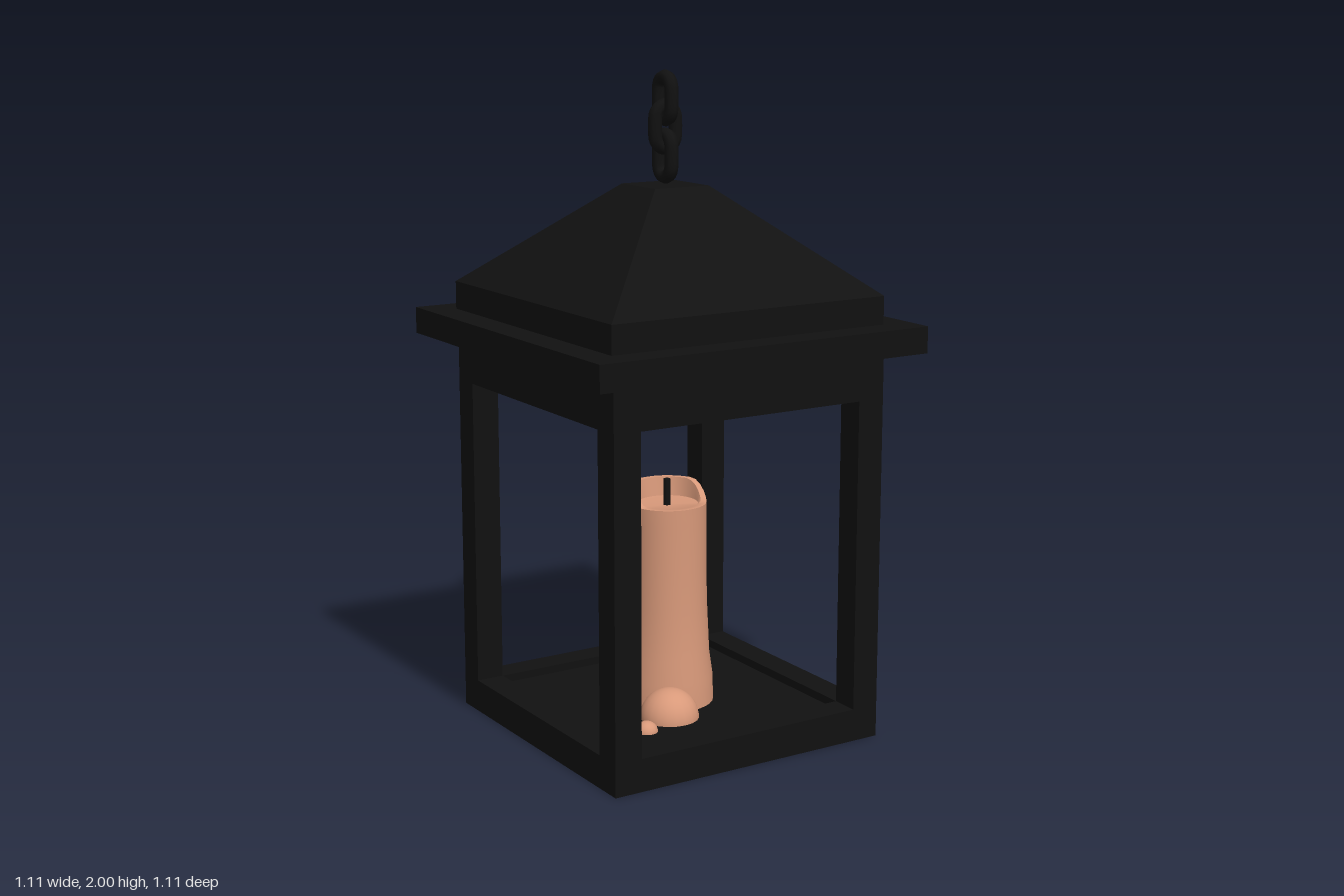
import * as THREE from 'three';
import { toCreasedNormals } from 'three/addons/utils/BufferGeometryUtils.js';

const iron = new THREE.MeshStandardMaterial({ color: 0x111111, flatShading: true });
const ironSmooth = new THREE.MeshStandardMaterial({ color: 0x111111 });
const wax = new THREE.MeshStandardMaterial({ color: 0xd8997a });

function add(parent, name, geometry, material, x = 0, y = 0, z = 0) {
  const mesh = new THREE.Mesh(geometry, material);
  mesh.name = name;
  mesh.position.set(x, y, z);
  parent.add(mesh);
  return mesh;
}

// Box spanning y0..y1
function slab(parent, name, w, y0, y1, d, x = 0, z = 0) {
  return add(parent, name, new THREE.BoxGeometry(w, y1 - y0, d), iron, x, (y0 + y1) / 2, z);
}

// Square frame of posts and rails with a sunken floor
function buildFrame() {
  const g = new THREE.Group();
  g.name = 'frame';
  const half = 0.462, t = 0.087, c = half - t / 2, inner = 2 * (half - t);
  for (const sx of [-1, 1]) for (const sz of [-1, 1]) slab(g, 'cornerPost', t, 0, 1.19, t, sx * c, sz * c);
  for (const s of [-1, 1]) {
    for (const [name, y0, y1] of [['bottomRail', 0, 0.1], ['topRail', 1.05, 1.19]]) {
      slab(g, name, inner, y0, y1, t, 0, s * c);
      slab(g, name, t, y0, y1, inner, s * c, 0);
    }
  }
  slab(g, 'floor', inner, 0, 0.075, inner);
  g.position.set(0.003, 0, 0.003);
  return g;
}

function buildRoof() {
  const g = new THREE.Group();
  g.name = 'roof';
  slab(g, 'brim', 1.11, 1.19, 1.27, 1.11);
  slab(g, 'roofBase', 0.926, 1.27, 1.355, 0.926);
  const slope = new THREE.CylinderGeometry(0.093 * Math.SQRT2, 0.463 * Math.SQRT2, 0.31, 4);
  slope.rotateY(Math.PI / 4);
  add(g, 'roofSlope', slope, iron, 0, 1.51, 0);
  return g;
}

// Three interlocked oval links, each turned a quarter from the last
function buildChain() {
  const g = new THREE.Group();
  g.name = 'chain';
  const w = 0.034, straight = 0.028, path = new THREE.CurvePath();
  const pts = [];
  for (let i = 0; i < 16; i++) {
    const a = ((i + 0.5) / 16) * Math.PI * 2;
    pts.push(new THREE.Vector3(w * Math.cos(a), w * Math.sin(a) + Math.sign(Math.sin(a)) * straight, 0));
  }
  const curve = new THREE.CatmullRomCurve3(pts, true);
  const link = new THREE.TubeGeometry(curve, 32, 0.021, 8, true);
  [1.75, 1.835, 1.918].forEach((y, i) => {
    add(g, 'chainLink', link, ironSmooth, 0, y, 0).rotation.y = i % 2 ? 0 : Math.PI / 2;
  });
  return g;
}

function buildCandle() {
  const g = new THREE.Group();
  g.name = 'candle';
  const rimY = 0.755;
  const profile = [
    [0.141, 0.07], [0.138, 0.16], [0.128, 0.23], [0.121, 0.38], [0.118, 0.5], [0.118, 0.65],
    [0.118, rimY], [0.1, rimY], [0.092, 0.698], [0, 0.693],
  ].map(([r, y]) => new THREE.Vector2(r, y));
  const body = new THREE.LatheGeometry(profile, 32);
  const p = body.attributes.position;
  for (let i = 0; i < p.count; i++) {
    const x = p.getX(i), y = p.getY(i), z = p.getZ(i);
    if (Math.abs(y - rimY) < 1e-4) {
      // Rim melted away towards the front, with a small dip on one side
      const melt = THREE.MathUtils.smoothstep(z, -0.04, 0.075);
      const dip = 0.025 * THREE.MathUtils.smoothstep(-x, 0.06, 0.11);
      p.setY(i, Math.max(0.702, rimY - 0.053 * melt - dip));
    }
    // Wax pooled at the back of the foot
    if (y < 0.2 && z < 0) p.setZ(i, z * 1.22);
  }
  add(g, 'candleBody', toCreasedNormals(body, 0.7), wax, 0, 0, 0.015);
  add(g, 'wick', new THREE.CylinderGeometry(0.011, 0.011, 0.085, 8), ironSmooth, -0.005, 0.7325, 0.018);

  // Drips of wax on the floor
  for (const [x, z, r, h] of [[-0.087, 0.162, 0.09, 0.09], [-0.21, 0.23, 0.034, 0.032]]) {
    const drip = new THREE.SphereGeometry(1, 20, 10, 0, Math.PI * 2, 0, Math.PI / 2);
    add(g, 'waxDrip', drip, wax, x, 0.074, z).scale.set(r, h, r);
  }
  return g;
}

export function createModel() {
  const model = new THREE.Group();
  model.name = 'candleLantern';
  model.add(buildFrame(), buildRoof(), buildChain(), buildCandle());
  return model;
}
